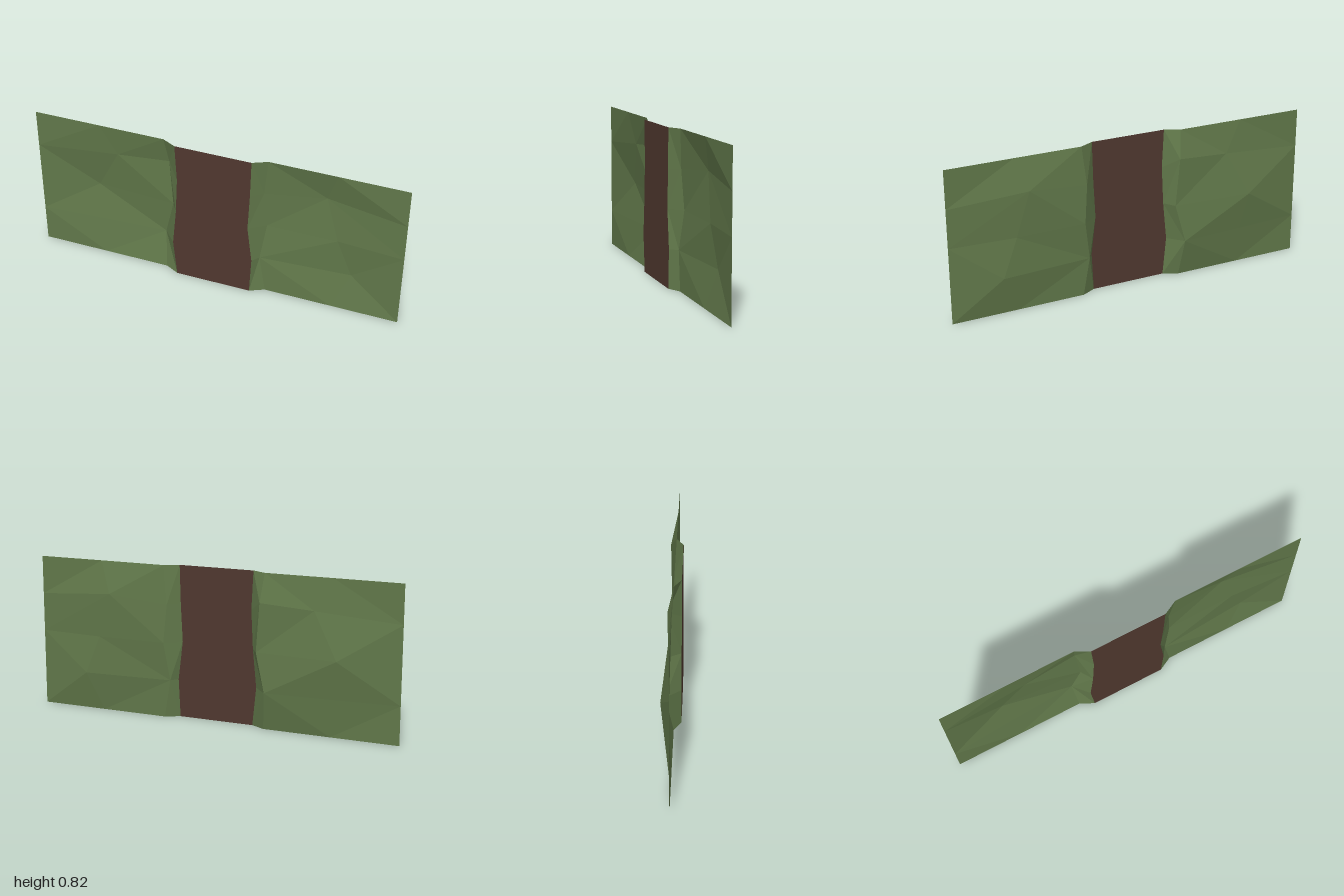
import * as THREE from 'three';

const H = 0.82, BASE = 0.007, FRONT = 0.045;
const ROWS = [0, 0.205, 0.41, 0.615, H];

// A column of points, bottom to top: each is [x, z] or [x, z, y]
const column = (pts) => pts.map(([x, z, y], i) => new THREE.Vector3(x, y ?? ROWS[i], z));
const straight = (xs, z) => column(xs.map((x) => [x, z]));

// Skin neighbouring columns (left to right or right to left) with faces toward +z.
// Each strip has one letter per cell: u = diagonal rises outward, d = it falls.
function sheet(name, columns, diagonals, material) {
  const pos = [];
  const flip = columns[0][0].x > columns[1][0].x;
  const tri = (a, b, c) => (flip ? [a, c, b] : [a, b, c]).forEach((p) => pos.push(p.x, p.y, p.z));
  diagonals.forEach((strip, s) => {
    const A = columns[s], B = columns[s + 1];
    [...strip].forEach((d, i) => {
      if (d === 'u') {
        tri(A[i], B[i], B[i + 1]);
        tri(A[i], B[i + 1], A[i + 1]);
      } else {
        tri(A[i], B[i], A[i + 1]);
        tri(B[i], B[i + 1], A[i + 1]);
      }
    });
  });
  const geo = new THREE.BufferGeometry();
  geo.setAttribute('position', new THREE.Float32BufferAttribute(pos, 3));
  geo.computeVertexNormals();
  const mesh = new THREE.Mesh(geo, material);
  mesh.name = name;
  return mesh;
}

export function createModel() {
  const opts = { flatShading: true, side: THREE.DoubleSide };
  const grass = new THREE.MeshStandardMaterial({ name: 'grass green', color: 0x61784a, ...opts });
  const earth = new THREE.MeshStandardMaterial({ name: 'earth brown', color: 0x50382f, ...opts });

  // Wavy borders of the path
  const pathR = straight([-0.205, -0.225, -0.205, -0.195, -0.205], FRONT);
  const pathL = straight([0.205, 0.215, 0.19, 0.2, 0.205], FRONT);

  // Bank foot and middle ridge of each grass panel
  const footR = column([[-0.28, BASE], [-0.297, -0.036], [-0.245, -0.018], [-0.265, -0.025, 0.67], [-0.28, BASE]]);
  const ridgeR = column([[-0.64, BASE], [-0.64, -0.017], [-0.68, -0.045], [-0.55, -0.012, 0.65], [-0.64, BASE]]);
  const footL = column([[0.28, BASE], [0.245, 0.003], [0.275, -0.016], [0.258, -0.005], [0.28, BASE]]);
  const ridgeL = column([[0.64, BASE], [0.73, -0.028], [0.65, -0.018], [0.58, -0.032, 0.65], [0.64, BASE]]);

  const group = new THREE.Group();
  group.name = 'pathTile';
  group.add(
    sheet('path', [pathR, pathL], ['uuuu'], earth),
    sheet('rightGrass', [pathR, footR, ridgeR, straight(Array(5).fill(-1), BASE)],
      ['udud', 'duud', 'udud'], grass),
    sheet('leftGrass', [pathL, footL, ridgeL, straight(Array(5).fill(1), BASE)],
      ['udud', 'duud', 'dudd'], grass),
  );
  return group;
}
